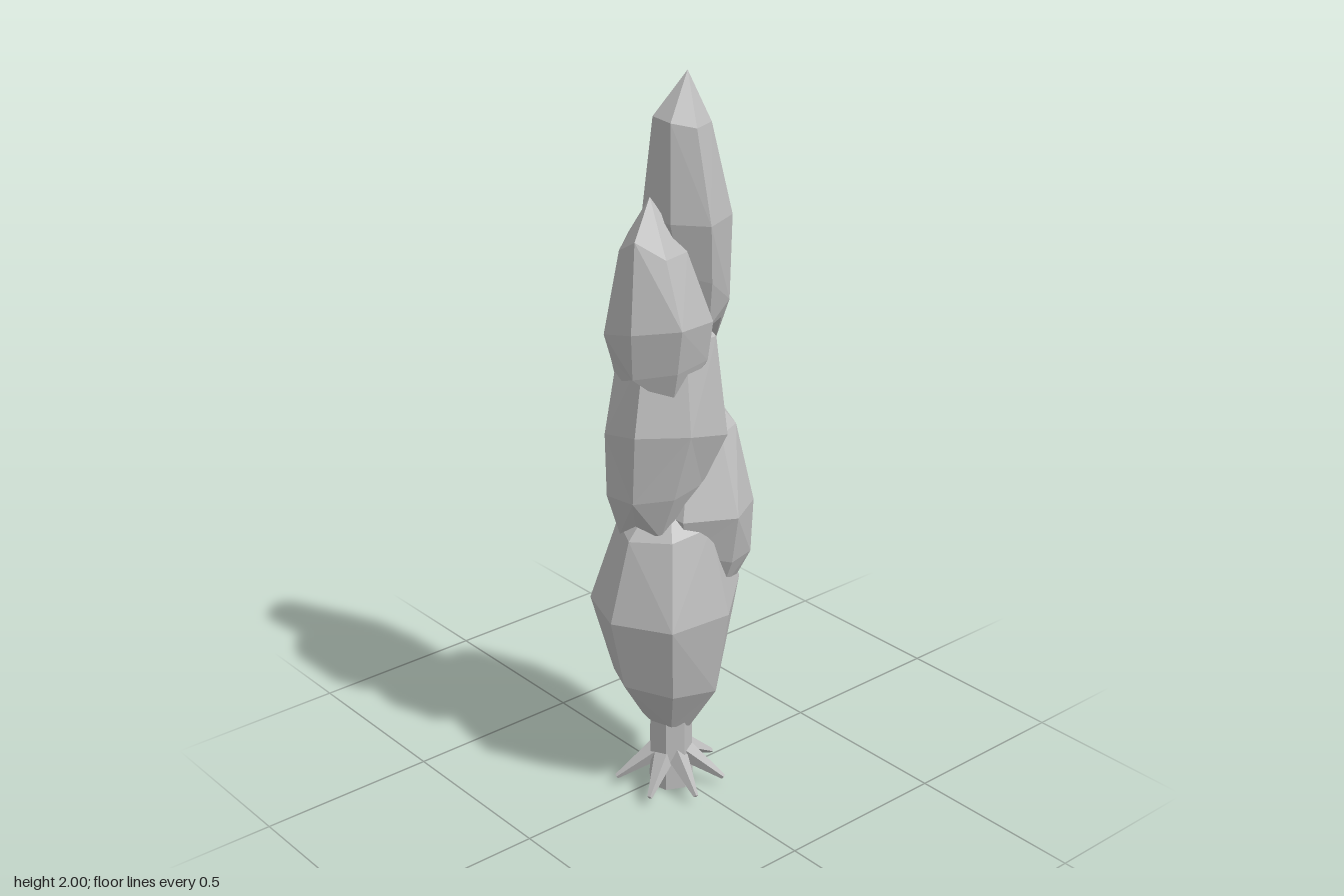
import * as THREE from 'three';

const grey = new THREE.MeshStandardMaterial({ color: 0xbcbcbc });
grey.name = 'grey';

// small seeded noise in -1..1
let seed = 7;
const noise = () => {
  seed = (seed * 16807) % 2147483647;
  return (seed / 2147483647) * 2 - 1;
};
const { lerp, degToRad } = THREE.MathUtils;

function part(name, geometry) {
  const flat = geometry.toNonIndexed();
  flat.computeVertexNormals();
  const mesh = new THREE.Mesh(flat, grey);
  mesh.name = name;
  return mesh;
}

// Foliage clump: an uneven oval widest at `wide`, tapering to `low` and to a tip at `top`.
// Points are [x, y, z]; base and shoulder are ring scales, tilt slants the lower edge along x,
// bend shifts the shoulder along x.
function clump({ name, low, wide, top, rx, rz, sides, phase, base, shoulder, tilt, bend, jag }) {
  const mix = (a, b, t) => a.map((v, i) => lerp(v, b[i], t));
  const upper = mix(wide, top, 0.65);
  upper[0] += bend;
  const rings = [
    [low, base, tilt, jag],
    [mix(low, wide, 0.38), lerp(base, 1, 0.62), tilt / 2, 0],
    [wide, 1, 0, 0],
    [upper, shoulder, 0, 0],
  ];
  const pos = [low[0], low[1] + 0.05, low[2]];
  for (const [c, scale, slant, zigzag] of rings) {
    for (let j = 0; j < sides; j++) {
      const a = phase + (j / sides) * Math.PI * 2;
      const s = scale * (1.03 + 0.05 * noise());
      const dx = rx * s * Math.cos(a);
      const dy = slant * dx + (j % 2 ? zigzag : -zigzag) + 0.025 * noise();
      pos.push(c[0] + dx, c[1] + dy, c[2] + rz * s * Math.sin(a));
    }
  }
  pos.push(...top);

  const idx = [];
  const tip = rings.length * sides + 1;
  const at = (r, j) => 1 + r * sides + (j % sides);
  for (let j = 0; j < sides; j++) {
    idx.push(0, at(0, j), at(0, j + 1));
    for (let r = 0; r < rings.length - 1; r++) {
      const a = at(r, j), b = at(r, j + 1), c = at(r + 1, j), d = at(r + 1, j + 1);
      if ((r + j) % 2) idx.push(a, c, b, b, c, d);
      else idx.push(a, c, d, a, d, b);
    }
    idx.push(at(rings.length - 1, j), tip, at(rings.length - 1, j + 1));
  }
  const g = new THREE.BufferGeometry();
  g.setAttribute('position', new THREE.Float32BufferAttribute(pos, 3));
  g.setIndex(idx);
  return part(name, g);
}

const clumps = [
  {
    name: 'lowestFoliage', low: [-0.02, 0.2, 0.01], wide: [-0.025, 0.57, 0], top: [-0.02, 0.93, 0.01],
    rx: 0.205, rz: 0.19, sides: 7, phase: 0.35, base: 0.34, shoulder: 0.66, tilt: 0, bend: 0, jag: 0,
  },
  {
    name: 'leftFoliage', low: [0.08, 0.62, 0], wide: [0.075, 0.85, 0], top: [0.1, 1.16, -0.015],
    rx: 0.155, rz: 0.17, sides: 7, phase: -0.2, base: 0.68, shoulder: 0.62, tilt: -0.5, bend: 0, jag: 0.02,
  },
  {
    name: 'middleFoliage', low: [-0.085, 0.82, 0.01], wide: [-0.035, 1.08, 0.02], top: [-0.02, 1.45, 0.01],
    rx: 0.165, rz: 0.135, sides: 7, phase: 0, base: 0.5, shoulder: 0.78, tilt: 0.4, bend: 0, jag: 0.02,
  },
  {
    name: 'rightFoliage', low: [-0.06, 1.22, 0.015], wide: [-0.06, 1.37, 0.03], top: [-0.09, 1.7, 0.02],
    rx: 0.14, rz: 0.133, sides: 7, phase: 0.1, base: 0.74, shoulder: 0.64, tilt: 0, bend: 0, jag: 0.03,
  },
  {
    name: 'topFoliage', low: [0.06, 1.36, 0.03], wide: [0.03, 1.62, 0.025], top: [0.023, 2, 0.03],
    rx: 0.11, rz: 0.115, sides: 7, phase: 0, base: 0.52, shoulder: 0.63, tilt: -0.9, bend: -0.018, jag: 0.02,
  },
];

export function createModel() {
  const model = new THREE.Group();
  model.name = 'tree';
  seed = 7;

  for (const c of clumps) model.add(clump(c));

  // Trunk
  const cx = -0.022, cz = 0.018;
  const trunk = part('trunk', new THREE.CylinderGeometry(0.058, 0.063, 0.34, 7));
  trunk.position.set(cx, 0.17, cz);
  model.add(trunk);

  // Spiky roots, unevenly spaced around the trunk
  const roots = new THREE.Group();
  roots.name = 'roots';
  for (const angle of [0, 55, 103, 152, 207, 290]) {
    const a = degToRad(angle);
    const start = new THREE.Vector3(cx + 0.03 * Math.cos(a), 0.105, cz + 0.03 * Math.sin(a));
    const end = new THREE.Vector3(cx + 0.153 * Math.cos(a), 0.028, cz + 0.153 * Math.sin(a));
    const dir = end.clone().sub(start);
    const root = part('root', new THREE.CylinderGeometry(0.007, 0.032, dir.length(), 4));
    root.position.copy(start).add(end).multiplyScalar(0.5);
    root.quaternion.setFromUnitVectors(new THREE.Vector3(0, 1, 0), dir.normalize());
    roots.add(root);
  }
  model.add(roots);
  return model;
}
